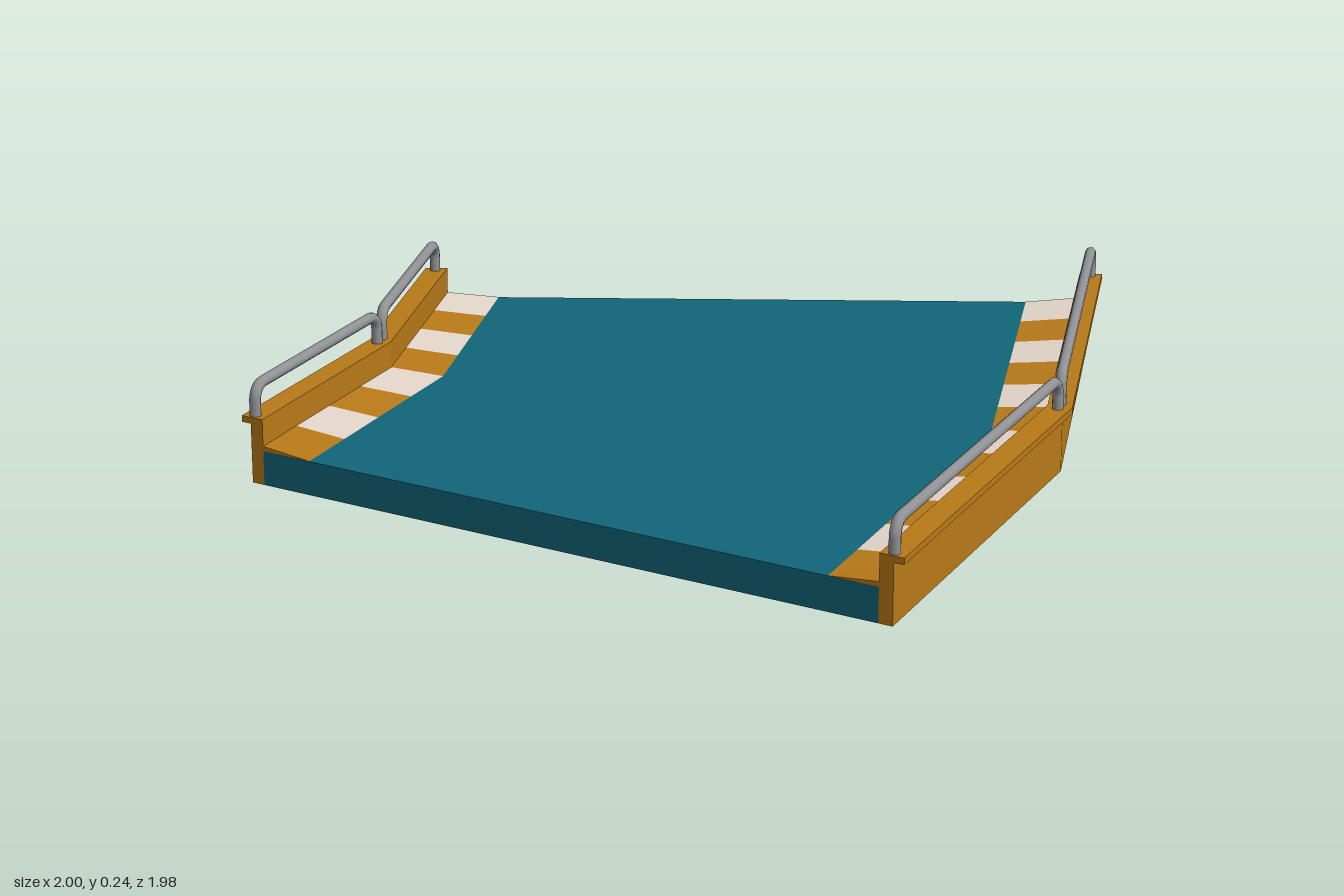
import * as THREE from 'three';

const paint = (color) => new THREE.MeshStandardMaterial({ color });

// Solid through a list of matching rings of [x, y, z] points, closed at both ends
function loft(rings) {
  const tris = [];
  const n = rings[0].length;
  for (let s = 0; s < rings.length - 1; s++) {
    for (let i = 0; i < n; i++) {
      const j = (i + 1) % n;
      const [a, b, c, d] = [rings[s][i], rings[s][j], rings[s + 1][j], rings[s + 1][i]];
      tris.push([a, b, c], [a, c, d]);
    }
  }
  const first = rings[0];
  const last = rings[rings.length - 1];
  for (let i = 1; i < n - 1; i++) {
    tris.push([first[0], first[i + 1], first[i]], [last[0], last[i], last[i + 1]]);
  }
  // Turn the faces outward whichever side of the road the solid is on
  const v = (p) => new THREE.Vector3(...p);
  const volume = tris.reduce((sum, [a, b, c]) => sum + v(a).dot(v(b).cross(v(c))), 0);
  if (volume < 0) tris.forEach((t) => t.reverse());
  const geometry = new THREE.BufferGeometry();
  geometry.setAttribute('position', new THREE.Float32BufferAttribute(tris.flat(2), 3));
  geometry.computeVertexNormals();
  return geometry;
}

// The road ends straight at the back and along a slanted line at the front
const BACK = -0.99;
const line = (backX, mid, frontX) => [
  [backX, BACK], mid, [frontX, 0.719 + 0.574 * frontX],
];

// Plan lines of each edge, from the road outward
const SIDES = {
  left: {
    kerb: line(0.81, [0.684, -0.016], 0.31),
    inner: line(0.942, [0.807, 0.02], 0.414),
    outer: line(0.973, [0.841, 0.029], 0.443),
    cap: line(0.998, [0.862, 0.037], 0.464),
    stripes: [6, 6],
  },
  right: {
    kerb: line(-0.51, [-0.595, -0.365], -0.84),
    inner: line(-0.638, [-0.72, -0.393], -0.951),
    outer: line(-0.669, [-0.75, -0.404], -0.979),
    cap: line(-0.692, [-0.771, -0.411], -1),
    stripes: [4, 4],
  },
};

const at = ([x, z], y) => [x, y, z];
const mix = (a, b, t) => [a[0] + (b[0] - a[0]) * t, a[1] + (b[1] - a[1]) * t];

// Rectangular section swept between two plan lines
const slab = (a, b, y0, y1) =>
  loft(a.map((p, i) => [at(p, y0), at(b[i], y0), at(b[i], y1), at(p, y1)]));

// Bent tube: post, rounded corner, bar, rounded corner, post
function railGeometry(start, end) {
  const base = 0.15, top = 0.225, bend = 0.035;
  const a = new THREE.Vector3(start[0], 0, start[1]);
  const b = new THREE.Vector3(end[0], 0, end[1]);
  const dir = b.clone().sub(a).normalize();
  a.addScaledVector(dir, 0.016);
  b.addScaledVector(dir, -0.016);
  const point = (p, along, y) => p.clone().addScaledVector(dir, along).setY(y);
  const points = [point(a, 0, base)];
  for (let i = 0; i <= 6; i++) {
    const t = (i / 6) * Math.PI / 2;
    points.push(point(a, bend * (1 - Math.cos(t)), top - bend * (1 - Math.sin(t))));
  }
  for (let i = 6; i >= 0; i--) {
    const t = (i / 6) * Math.PI / 2;
    points.push(point(b, -bend * (1 - Math.cos(t)), top - bend * (1 - Math.sin(t))));
  }
  points.push(point(b, 0, base));
  const path = new THREE.CurvePath();
  for (let i = 1; i < points.length; i++) {
    path.add(new THREE.LineCurve3(points[i - 1], points[i]));
  }
  return new THREE.TubeGeometry(path, 90, 0.013, 10, false);
}

export function createModel() {
  const model = new THREE.Group();
  model.name = 'roadBend';
  const teal = paint(0x11667a);
  const orange = paint(0xb87a18);
  const white = paint(0xe4d6ca);
  const steel = paint(0x909296);

  const add = (parent, name, geometry, material) => {
    const mesh = new THREE.Mesh(geometry, material);
    mesh.name = name;
    parent.add(mesh);
  };

  // Road deck between the two walls
  add(model, 'deck', slab(SIDES.right.inner, SIDES.left.inner, 0, 0.08), teal);

  for (const [name, side] of Object.entries(SIDES)) {
    const edge = new THREE.Group();
    edge.name = `${name}Edge`;
    model.add(edge);

    // Wall and its overhanging cap
    add(edge, 'wall', slab(side.inner, side.outer, 0, 0.14), orange);
    add(edge, 'wallCap', slab(side.inner, side.cap, 0.14, 0.155), orange);

    for (let s = 0; s < 2; s++) {
      // Sloping kerb in alternating stripes
      const count = side.stripes[s];
      const section = (t) => {
        const low = mix(side.kerb[s], side.kerb[s + 1], t);
        const high = mix(side.inner[s], side.inner[s + 1], t);
        return [at(low, 0.0805), at(high, 0.08), at(high, 0.092)];
      };
      for (let i = 0; i < count; i++) {
        add(edge, 'kerbStripe', loft([section(i / count), section((i + 1) / count)]),
          i % 2 ? orange : white);
      }

      // Handrail centred on the cap
      const centre = (k) => mix(side.inner[k], side.cap[k], 0.5);
      add(edge, 'handrail', railGeometry(centre(s), centre(s + 1)), steel);
    }
  }
  return model;
}
